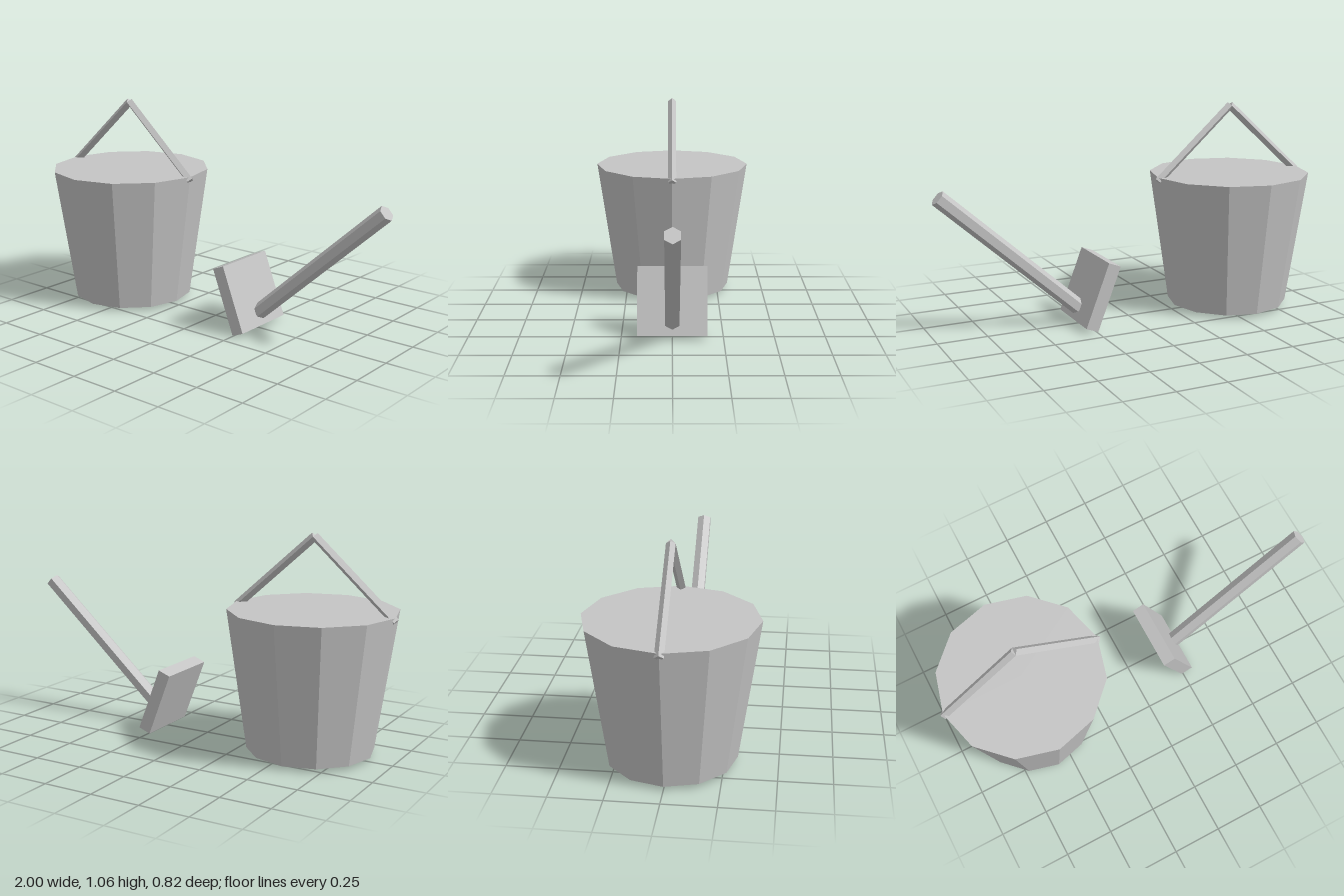
import * as THREE from 'three';

const grey = new THREE.MeshStandardMaterial({ color: 0xc4c4c4, flatShading: true });
grey.name = 'grey';

function part(name, geometry, x, y) {
  const mesh = new THREE.Mesh(geometry, grey);
  mesh.name = name;
  mesh.position.set(x, y, 0);
  return mesh;
}

// Straight faceted rod between two points in the xy plane, with an edge along its top
function rod(name, [x0, y0], [x1, y1], radius, sides) {
  const length = Math.hypot(x1 - x0, y1 - y0);
  const geometry = new THREE.CylinderGeometry(radius, radius, length, sides, 1, false, Math.PI / 2);
  const mesh = part(name, geometry, (x0 + x1) / 2, (y0 + y1) / 2);
  mesh.rotation.z = Math.atan2(y1 - y0, x1 - x0) - Math.PI / 2;
  return mesh;
}

export function createModel() {
  const model = new THREE.Group();
  model.name = 'bucketAndSpade';
  const bucketX = -0.577;

  // Closed twelve-sided bucket
  const bucket = new THREE.Group();
  bucket.name = 'bucket';
  bucket.add(part('bucketBody', new THREE.CylinderGeometry(0.41, 0.31, 0.684, 12), bucketX, 0.365));

  // Two thin rods meeting in a peak above the bucket
  for (const [side, name] of [[1, 'leftHandleRod'], [-1, 'rightHandleRod']]) {
    bucket.add(rod(name, [bucketX + side * 0.41, 0.687], [bucketX, 1.052], 0.0213, 4));
  }

  // Spade: tilted slab blade with a hexagonal shaft rising from its lower end
  const spade = new THREE.Group();
  spade.name = 'spade';
  const blade = part('spadeBlade', new THREE.BoxGeometry(0.066, 0.34, 0.342), 0.213, 0.175);
  blade.rotation.z = 0.367;
  spade.add(blade, rod('spadeShaft', [0.278, 0.09], [0.971, 0.708], 0.04, 6));

  model.add(bucket, spade);
  return model;
}
